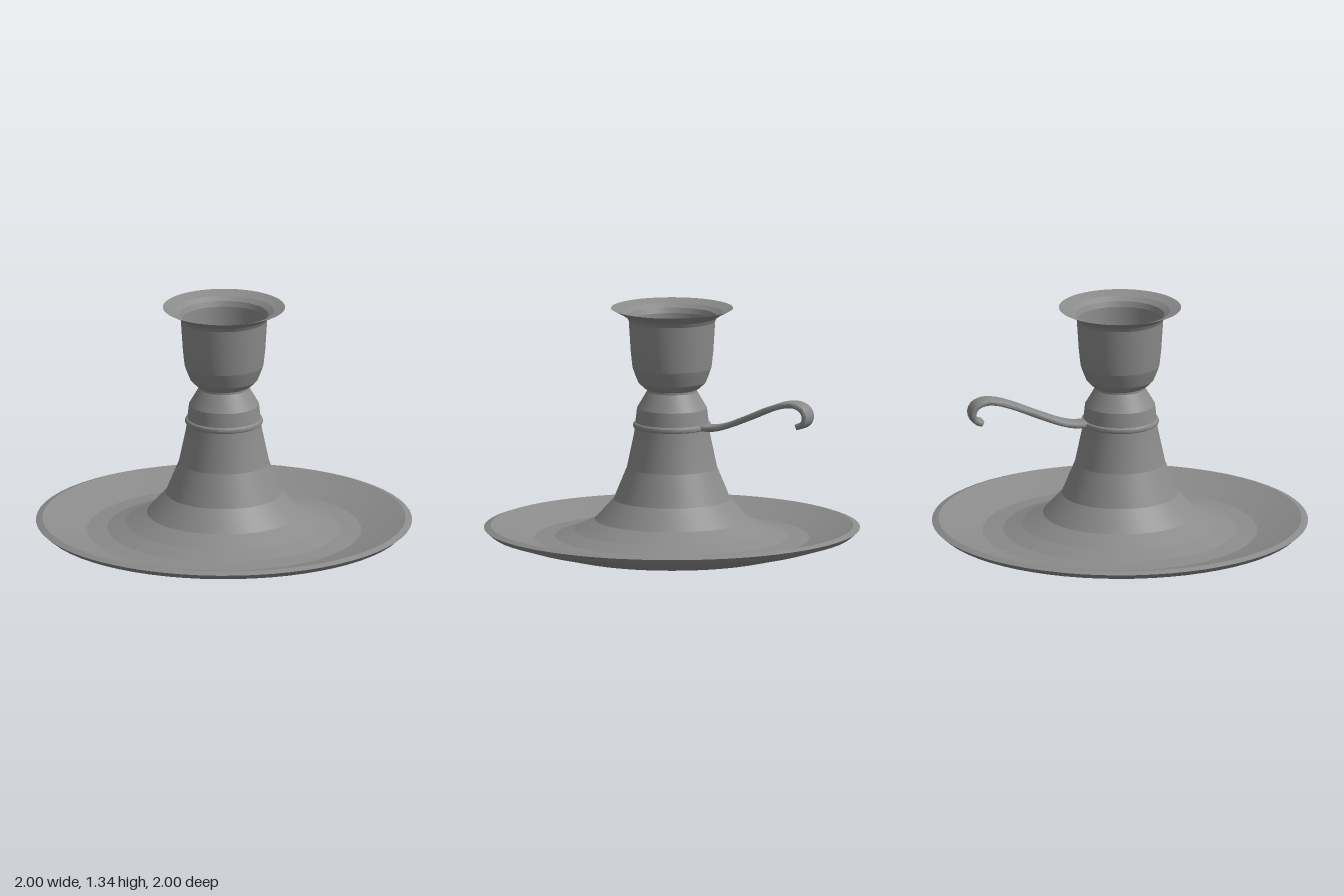
import * as THREE from 'three';
import { toCreasedNormals } from 'three/addons/utils/BufferGeometryUtils.js';

const SEGMENTS = 64;

export function createModel() {
  const group = new THREE.Group();
  const material = new THREE.MeshStandardMaterial({ color: 0x8b8b8b, side: THREE.DoubleSide });

  const add = (name, geometry, crease) => {
    const mesh = new THREE.Mesh(toCreasedNormals(geometry, crease), material);
    mesh.name = name;
    group.add(mesh);
    return mesh;
  };
  // Turned part: smooth around the axis, banded along the profile
  const turned = (name, profile) =>
    add(name, new THREE.LatheGeometry(profile.map(([r, y]) => new THREE.Vector2(r, y)), SEGMENTS), 0.14);

  // Shallow dish, from the underside centre over the bevelled rim to the foot of the stem
  turned('dish', [
    [0, 0], [0.45, 0.01], [0.62, 0.03], [0.82, 0.08], [0.965, 0.125], [1, 0.155], [0.965, 0.167],
    [0.85, 0.13], [0.73, 0.1], [0.62, 0.11], [0.52, 0.145],
  ]);

  // Flared stem with a narrow neck
  turned('stem', [
    [0.52, 0.145], [0.41, 0.2], [0.31, 0.31], [0.24, 0.48], [0.202, 0.66],
    [0.193, 0.74], [0.186, 0.8], [0.142, 0.875], [0.133, 0.89], [0.133, 0.91],
  ]);

  // Candle cup, from the outside over the flared lip to the inner floor
  turned('candleCup', [
    [0.13, 0.9], [0.15, 0.91], [0.18, 0.94], [0.2, 0.99], [0.21, 1.02], [0.219, 1.1], [0.23, 1.27],
    [0.24, 1.29], [0.27, 1.31], [0.325, 1.338],
    [0.265, 1.318], [0.236, 1.298], [0.225, 1.27], [0.213, 1.1], [0.204, 1.02],
    [0.193, 0.99], [0.172, 0.945], [0.14, 0.915], [0, 0.915],
  ]);

  // Collar band that holds the handle
  const collar = add('collar', new THREE.TorusGeometry(0.191, 0.017, 10, SEGMENTS), 0.8);
  collar.rotation.x = Math.PI / 2;
  collar.position.y = 0.708;

  // Curled strap handle: a centre line given thickness, then extruded across
  const path = new THREE.CatmullRomCurve3([
    [0.18, 0.71], [0.25, 0.711], [0.32, 0.727], [0.45, 0.779], [0.6, 0.845], [0.69, 0.874],
    [0.755, 0.878], [0.803, 0.857], [0.82, 0.815], [0.803, 0.778], [0.775, 0.767],
  ].map(([x, y]) => new THREE.Vector3(x, y, 0)));
  const top = [], bottom = [];
  for (let i = 0; i <= 40; i++) {
    const p = path.getPointAt(i / 40), t = path.getTangentAt(i / 40);
    const normal = new THREE.Vector2(-t.y, t.x).multiplyScalar(0.006);
    const centre = new THREE.Vector2(p.x, p.y);
    top.push(centre.clone().add(normal));
    bottom.unshift(centre.clone().sub(normal));
  }
  const strap = new THREE.ExtrudeGeometry(new THREE.Shape([...top, ...bottom]), {
    depth: 0.07, bevelThickness: 0.015, bevelSize: 0.01, bevelSegments: 2,
  });
  strap.translate(0, 0, -0.035);
  strap.rotateY(Math.PI / 2);
  add('handle', strap, 0.6);

  return group;
}
